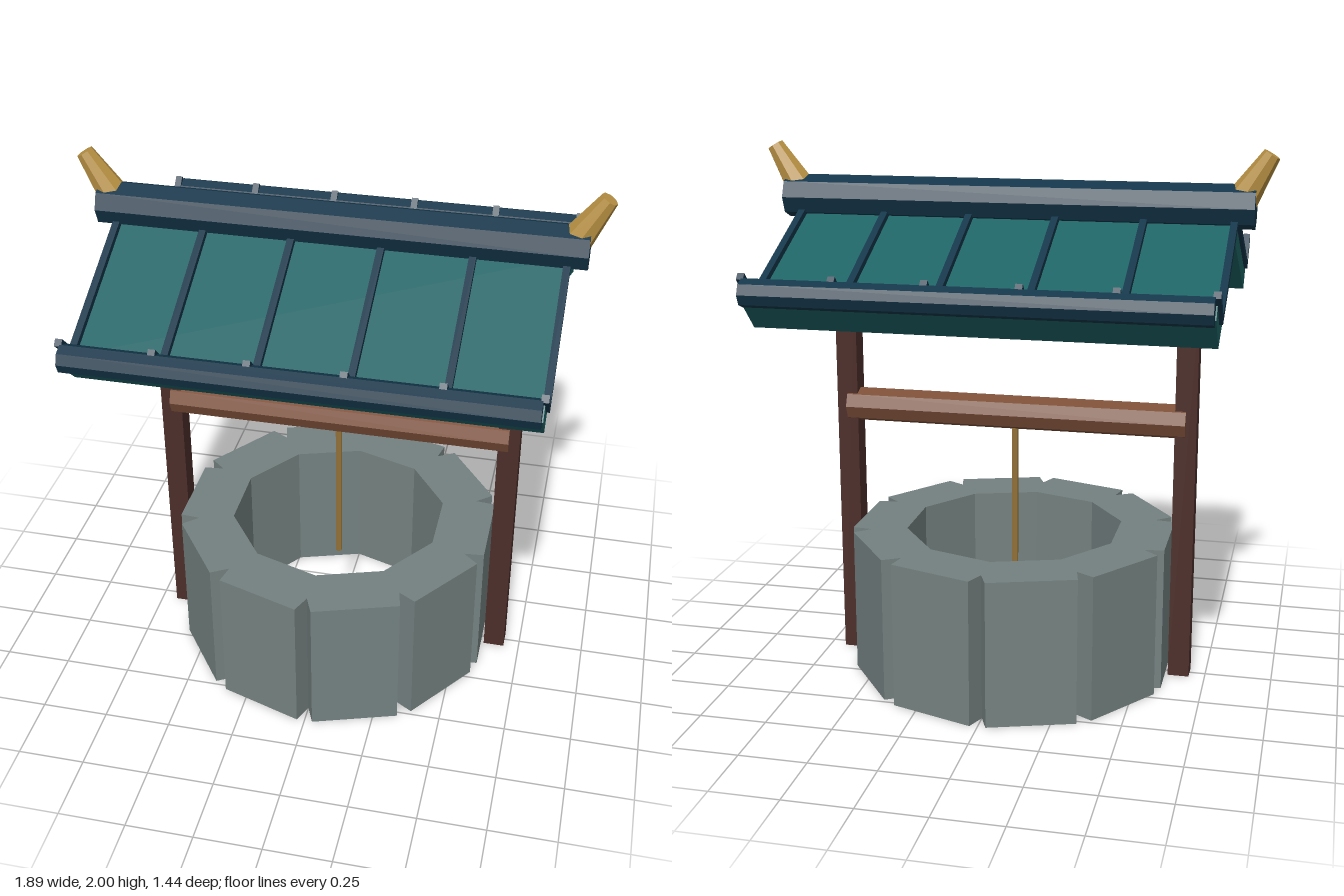
import * as THREE from 'three';

const mat = (color) => new THREE.MeshStandardMaterial({ color, flatShading: true });

export function createModel() {
  const model = new THREE.Group();
  const stone = mat(0x748180), post = mat(0x4c2e29), wood = mat(0x7c4e37), ropeMat = mat(0x96743a);
  const teal = mat(0x1d6365), blue = mat(0x14364a), gold = mat(0xb89143);

  const add = (name, geometry, material, x = 0, y = 0, z = 0) => {
    const mesh = new THREE.Mesh(geometry, material);
    mesh.name = name;
    mesh.position.set(x, y, z);
    model.add(mesh);
    return mesh;
  };
  // eight-sided bar lying along x
  const bar = (r, length) => new THREE.CylinderGeometry(r, r, length, 8).rotateZ(Math.PI / 2);
  // (z, y) outline extruded along x and centred on x = 0
  const slab = (points, width) => {
    const shape = new THREE.Shape(points.map(([z, y]) => new THREE.Vector2(z, y)));
    return new THREE.ExtrudeGeometry(shape, { depth: width, bevelEnabled: false })
      .translate(0, 0, -width / 2).rotateY(-Math.PI / 2);
  };
  // closed outline from the lower and upper edge of one half, mirrored over z = 0;
  // both edges run from the ridge to the eave
  const gable = (lower, upper) => {
    const flip = (pts) => pts.slice(1).map(([z, y]) => [-z, y]);
    return [...flip(lower).reverse(), ...lower, ...[...upper].reverse(), ...flip(upper)];
  };

  // stone ring: ten blocks parted by V grooves; the hole winds against the outline
  const count = 10, outline = [], inner = [];
  const polar = (r, a) => new THREE.Vector2(r * Math.sin(a), r * Math.cos(a));
  for (let i = 0; i < count; i++) {
    const a = (i / count) * Math.PI * 2;
    outline.push(polar(0.62, a - 0.048), polar(0.55, a), polar(0.62, a + 0.048));
    inner.push(polar(0.415, -a));
  }
  const ring = new THREE.Shape(outline);
  ring.holes.push(new THREE.Path(inner));
  add('stoneRing', new THREE.ExtrudeGeometry(ring, { depth: 0.55, bevelEnabled: false })
    .rotateX(-Math.PI / 2), stone);

  // posts, winding beam and rope
  for (const s of [-1, 1]) {
    add(s > 0 ? 'leftPost' : 'rightPost', new THREE.BoxGeometry(0.08, 1.5, 0.08), post, s * 0.65, 0.75);
  }
  add('windingBeam', bar(0.065, 1.3), wood, 0, 1);
  add('rope', new THREE.CylinderGeometry(0.013, 0.013, 0.6, 6), ropeMat, 0, 0.65);

  // roof panel with upturned eaves
  add('roofPanel', slab(gable(
    [[0, 1.67], [0.565, 1.405], [0.68, 1.52]],
    [[0, 1.755], [0.565, 1.49], [0.64, 1.568]]), 1.6), teal);

  // ribs over the roof
  const ribGeometry = slab(gable(
    [[0, 1.75], [0.565, 1.485], [0.675, 1.59]],
    [[0, 1.78], [0.565, 1.515], [0.658, 1.61]]), 0.025);
  for (let i = 0; i < 6; i++) add('roofRib', ribGeometry, blue, -0.8 + i * 0.32);

  // ridge and eave bars
  add('ridgeBar', bar(0.08, 1.74), blue, 0, 1.797);
  for (const s of [-1, 1]) {
    add(s > 0 ? 'frontEaveBar' : 'backEaveBar', bar(0.05, 1.59), blue, 0, 1.545, s * 0.67);
  }

  // tapered finials leaning outward from the ridge ends
  for (const s of [-1, 1]) {
    add(s > 0 ? 'leftFinial' : 'rightFinial',
      new THREE.CylinderGeometry(0.032, 0.066, 0.25, 8), gold, s * 0.853, 1.876).rotation.z = -s * 0.55;
  }
  return model;
}
